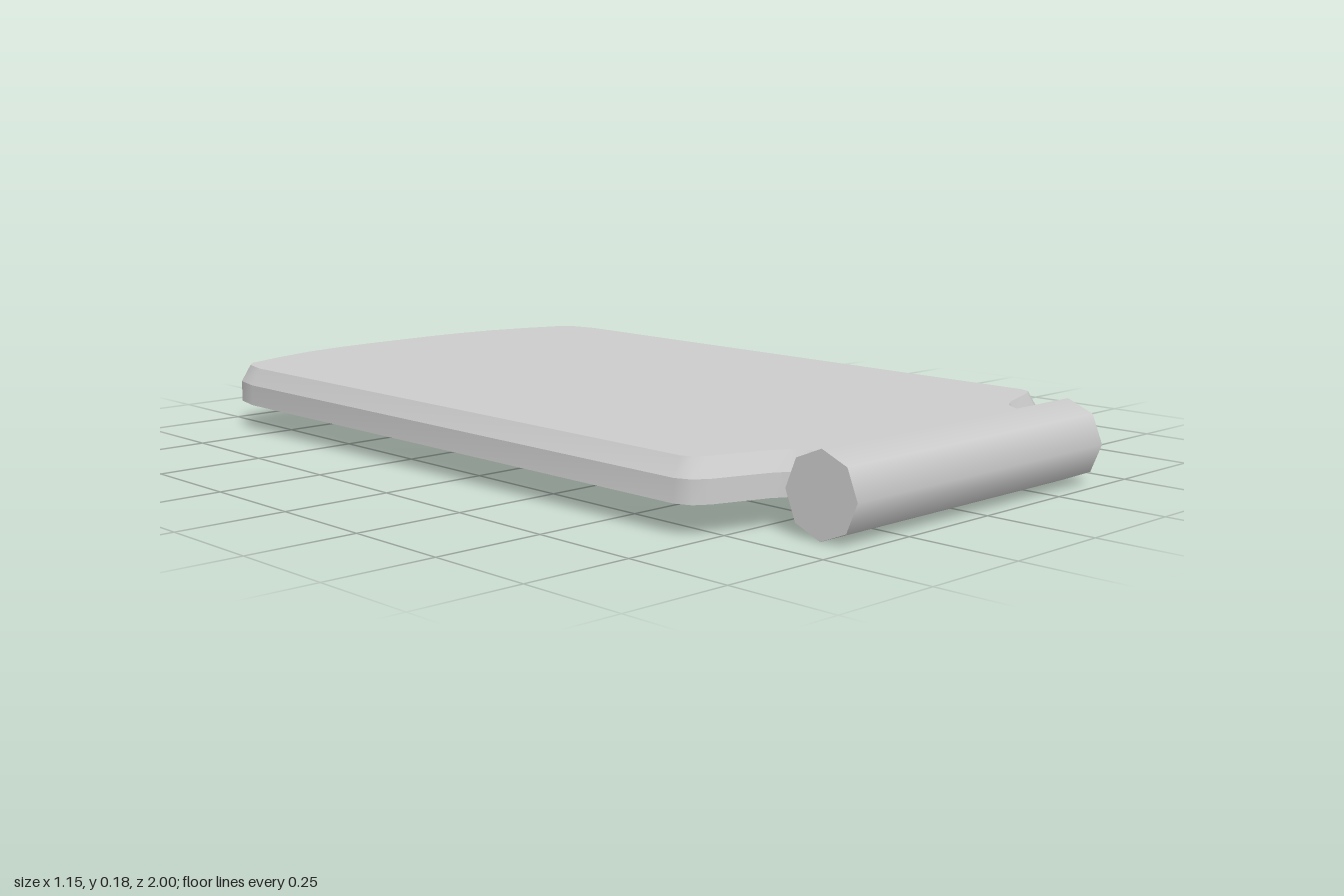
import * as THREE from 'three';
import { toCreasedNormals } from 'three/addons/utils/BufferGeometryUtils.js';

const BOTTOM = 0.065, SHOULDER = 0.115, TOP = 0.155, RECESS = 0.093;

const material = new THREE.MeshStandardMaterial({ color: 0xcccccc });

function addMesh(parent, name, geometry) {
  const mesh = new THREE.Mesh(geometry, material);
  mesh.name = name;
  parent.add(mesh);
}

// Mirrors half an outline (x > 0, back to front) into a closed loop of (x, z) points
function mirrorLoop(half) {
  const right = half.map(([x, z]) => new THREE.Vector2(x, z));
  const left = half.map(([x, z]) => new THREE.Vector2(-x, z)).reverse();
  return [...right, ...left];
}

// Moves every side of a loop inwards by d
function inset(loop, d) {
  const n = loop.length;
  const normal = (a, b) => new THREE.Vector2(a.y - b.y, b.x - a.x).normalize();
  return loop.map((p, i) => {
    const n1 = normal(loop[(i + n - 1) % n], p);
    const n2 = normal(p, loop[(i + 1) % n]);
    return n1.clone().add(n2).multiplyScalar(d / (1 + n1.dot(n2))).add(p);
  });
}

// Band of faces between two loops at different heights
function wall(low, yLow, high, yHigh) {
  const n = low.length, positions = [], index = [];
  for (let i = 0; i < n; i++) {
    positions.push(low[i].x, yLow, low[i].y, high[i].x, yHigh, high[i].y);
    const a = 2 * i, b = 2 * ((i + 1) % n);
    index.push(a, a + 1, b, b, a + 1, b + 1);
  }
  const g = new THREE.BufferGeometry();
  g.setAttribute('position', new THREE.Float32BufferAttribute(positions, 3));
  g.setIndex(index);
  return toCreasedNormals(g, 0.8);
}

// Flat horizontal face, facing up (side = 1) or down (side = -1)
function cap(loop, y, side, holes = []) {
  const flip = (pts) => pts.map((p) => new THREE.Vector2(p.x, -side * p.y));
  const shape = new THREE.Shape(flip(loop));
  shape.holes = holes.map((h) => new THREE.Path(flip(h)));
  return new THREE.ShapeGeometry(shape).rotateX(-side * Math.PI / 2).translate(0, y, 0);
}

export function createModel() {
  const model = new THREE.Group();

  // Board outline: bowed back edge, long sides, stepped neck running into the bar
  const outline = mirrorLoop([
    [0.1, -1], [0.2, -0.995], [0.31, -0.98], [0.42, -0.95], [0.53, -0.91],
    [0.56, -0.875], [0.577, -0.8], [0.577, 0.69], [0.562, 0.725], [0.53, 0.745],
    [0.41, 0.785], [0.375, 0.805], [0.358, 0.83], [0.358, 0.91],
  ]);
  const topLoop = inset(outline, 0.022);

  // Underside recesses: a wide panel and a rounded slot near the back
  const panel = mirrorLoop([[0.495, -0.33], [0.495, 0.38]]);
  const slotHalf = [];
  for (let i = 0; i <= 8; i++) {
    const a = -Math.PI / 2 + i * Math.PI / 8;
    slotHalf.push([0.18 + 0.065 * Math.cos(a), -0.7 + 0.065 * Math.sin(a)]);
  }
  const slot = mirrorLoop(slotHalf);

  const board = new THREE.Group();
  board.name = 'board';
  addMesh(board, 'boardSide', wall(outline, BOTTOM, outline, SHOULDER));
  addMesh(board, 'boardChamfer', wall(outline, SHOULDER, topLoop, TOP));
  addMesh(board, 'boardTop', cap(topLoop, TOP, 1));
  addMesh(board, 'boardUnderside', cap(outline, BOTTOM, -1, [panel, slot]));
  for (const [name, loop] of [['panelRecess', panel], ['slotRecess', slot]]) {
    const reversed = [...loop].reverse();
    addMesh(board, name + 'Wall', wall(reversed, BOTTOM, reversed, RECESS));
    addMesh(board, name + 'Floor', cap(loop, RECESS, -1));
  }
  model.add(board);

  // Eight-sided bar across the front
  const bar = new THREE.CylinderGeometry(0.09, 0.09, 0.81, 8);
  bar.rotateZ(Math.PI / 2).translate(0, 0.09, 0.91);
  addMesh(model, 'frontBar', bar);

  return model;
}
